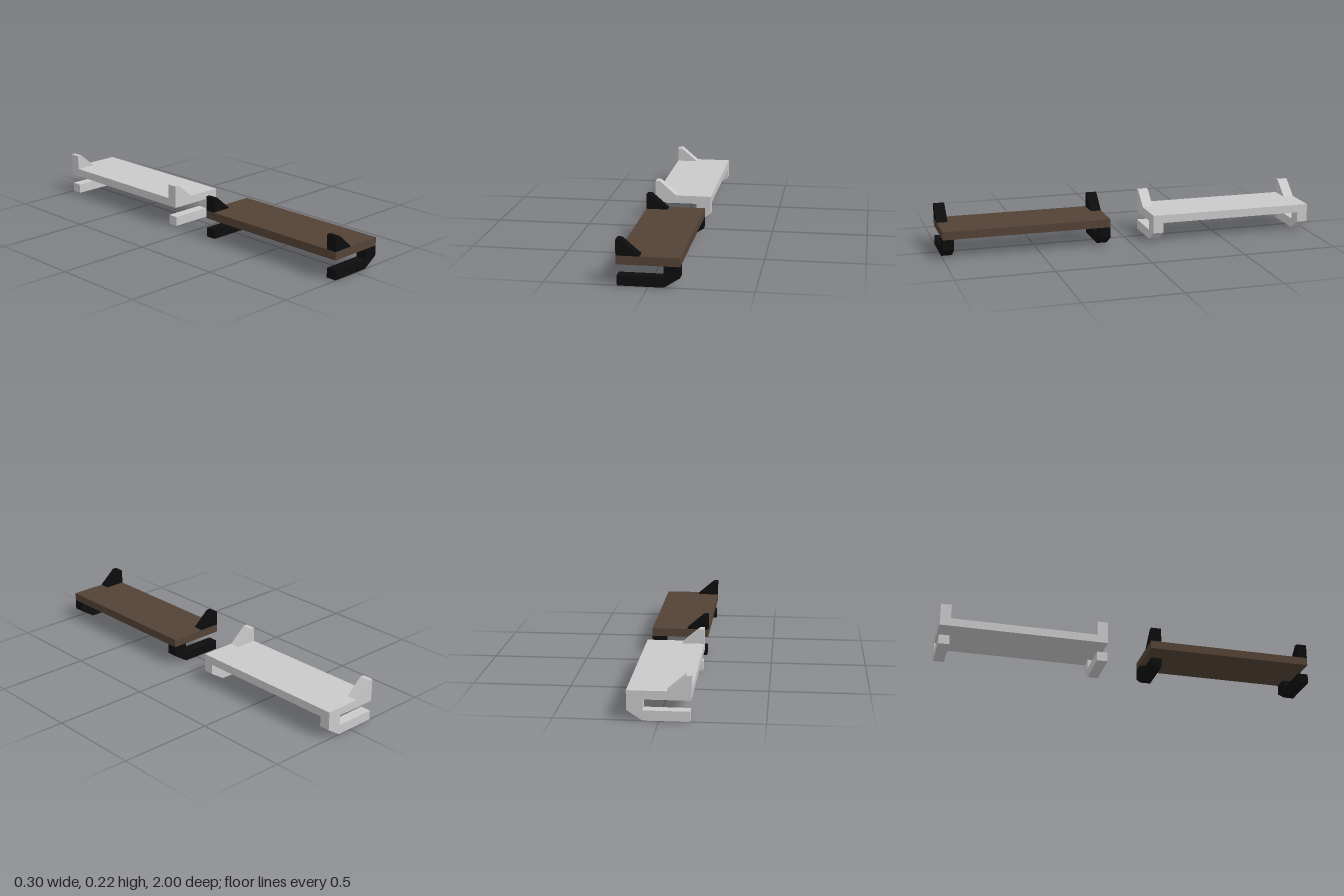
import * as THREE from 'three';

const THICK = 0.056; // bracket thickness along z
const NEAR = 0.118, FAR = 1.0; // z extent of one shelf

// Side profile (x, y) extruded along +z
function extrude(points) {
  const shape = new THREE.Shape(points.map(([x, y]) => new THREE.Vector2(x, y)));
  return new THREE.ExtrudeGeometry(shape, { depth: THICK, bevelEnabled: false });
}

export function createModel() {
  const model = new THREE.Group();
  model.name = 'shelfPair';

  const brown = new THREE.MeshStandardMaterial({ color: 0x544336 });
  brown.name = 'brown wood';
  const black = new THREE.MeshStandardMaterial({ color: 0x0d0d0d });
  black.name = 'black metal';
  const grey = new THREE.MeshStandardMaterial({ color: 0xcacaca });
  grey.name = 'light grey';

  const plankGeometry = new THREE.BoxGeometry(0.304, 0.043, FAR - NEAR);
  // Hook under the plank, with a chamfered outer corner
  const hookGeometry = extrude([
    [-0.147, 0], [0.075, 0], [0.152, 0.05], [0.152, 0.103],
    [0.075, 0.103], [0.075, 0.05], [-0.147, 0.05],
  ]);
  // Sloped stop on top of the plank
  const stopGeometry = extrude([
    [-0.152, 0.146], [-0.038, 0.146], [-0.128, 0.223], [-0.152, 0.223],
  ]);

  function addShelf(name, side, plankMaterial, bracketMaterial) {
    const shelf = new THREE.Group();
    shelf.name = name;

    const plank = new THREE.Mesh(plankGeometry, plankMaterial);
    plank.name = 'plank';
    plank.position.set(0, 0.1245, side * (NEAR + FAR) / 2);
    shelf.add(plank);

    // One bracket flush with each end
    const center = side * (NEAR + FAR) / 2, half = (FAR - NEAR) / 2;
    for (const [end, z] of [['front', center + half - THICK], ['back', center - half]]) {
      const hook = new THREE.Mesh(hookGeometry, bracketMaterial);
      hook.name = end + 'Hook';
      const stop = new THREE.Mesh(stopGeometry, bracketMaterial);
      stop.name = end + 'Stop';
      hook.position.z = stop.position.z = z;
      shelf.add(hook, stop);
    }
    model.add(shelf);
  }

  addShelf('woodenShelf', 1, brown, black);
  addShelf('greyShelf', -1, grey, grey);
  return model;
}
